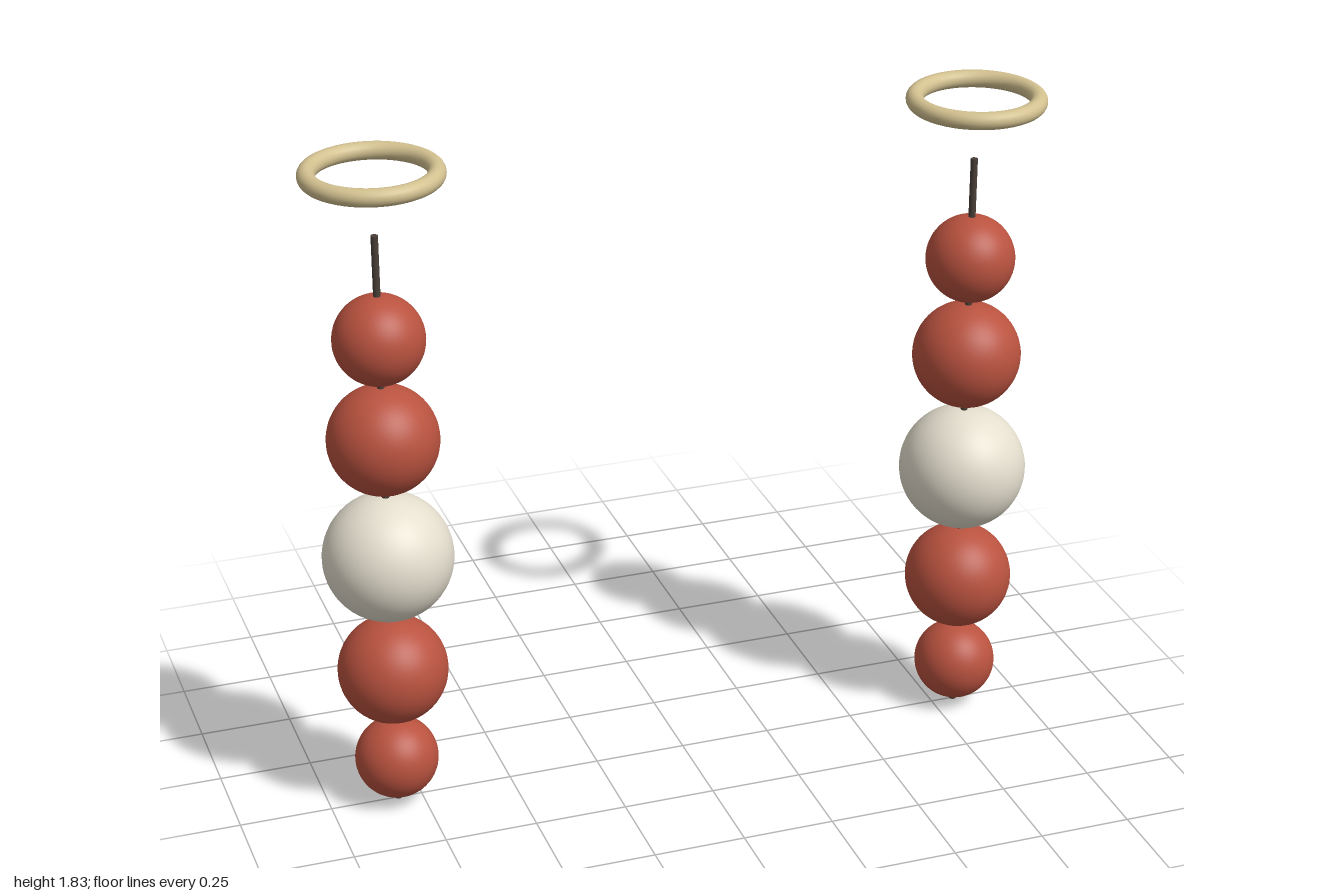
import * as THREE from 'three';

const material = (color) => new THREE.MeshStandardMaterial({ color });

export function createModel() {
  const model = new THREE.Group();
  model.name = 'beadEarrings';
  const red = material(0xb9523f);
  const ivory = material(0xe4dece);
  const gold = material(0xd2c08f);
  const dark = material(0x4a3f38);

  // Beads from bottom to top: name, height, radius, material
  const beads = [
    ['bottomBead', 0.129, 0.112, red],
    ['lowerBead', 0.4, 0.147, red],
    ['middleBead', 0.737, 0.173, ivory],
    ['upperBead', 1.075, 0.147, red],
    ['topBead', 1.356, 0.12, red],
  ];

  for (const [side, x] of [['left', 0.814], ['right', -0.814]]) {
    const earring = new THREE.Group();
    earring.name = side + 'Earring';
    earring.position.x = x;

    const add = (name, geometry, mat, y) => {
      const mesh = new THREE.Mesh(geometry, mat);
      mesh.name = name;
      mesh.position.y = y;
      earring.add(mesh);
    };

    // Thin cord running through every bead
    add('cord', new THREE.CylinderGeometry(0.0095, 0.0095, 1.64, 16), dark, 0.82);

    for (const [name, y, radius, mat] of beads) {
      add(name, new THREE.SphereGeometry(radius, 48, 32), mat, y);
    }

    // Flat-lying ring floating above the cord
    const ring = new THREE.TorusGeometry(0.1625, 0.0235, 20, 64).rotateX(Math.PI / 2);
    add('ring', ring, gold, 1.805);

    model.add(earring);
  }
  return model;
}
